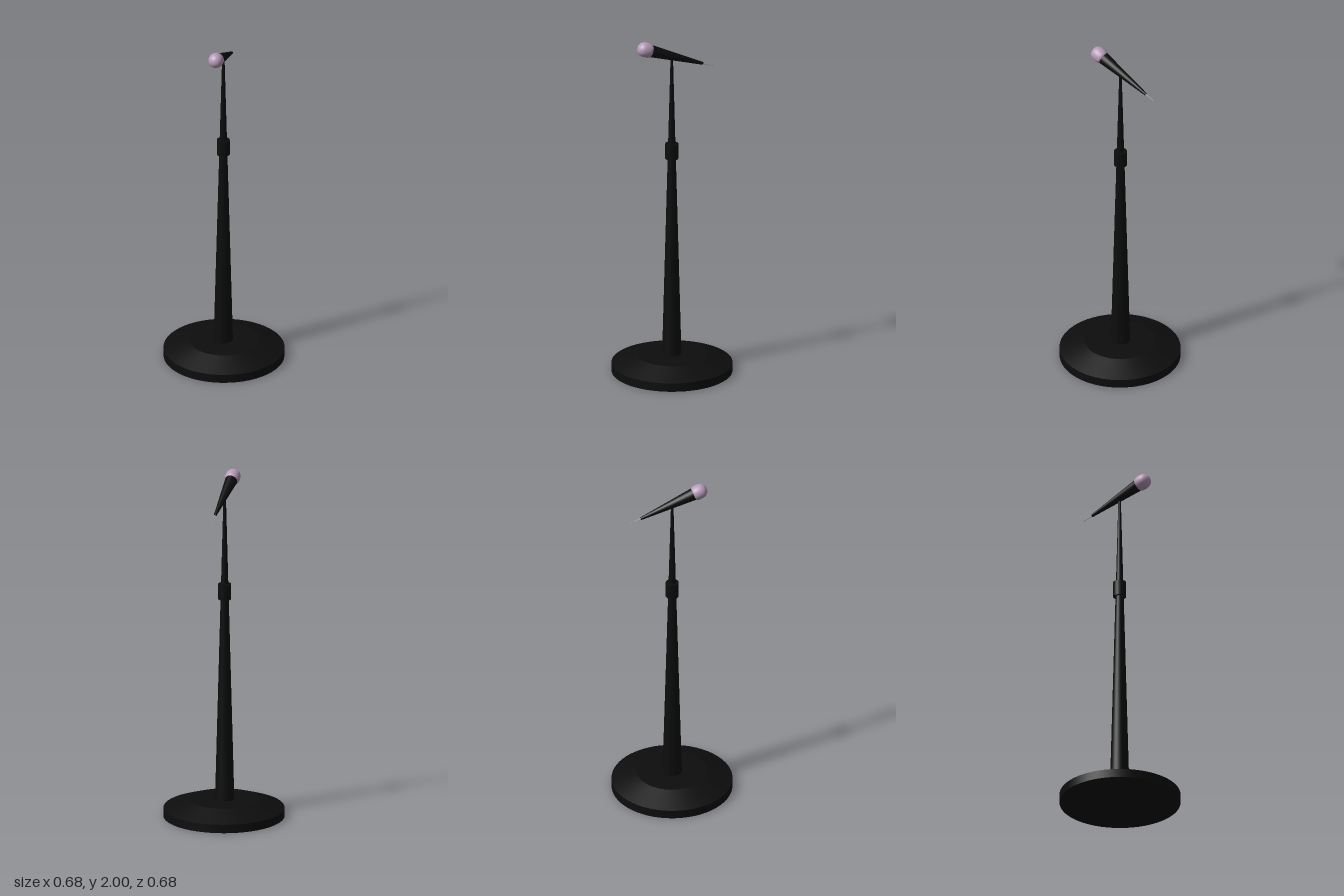
import * as THREE from 'three';

const black = new THREE.MeshStandardMaterial({ color: 0x0d0d0d });
black.name = 'matte black';
const mauve = new THREE.MeshStandardMaterial({ color: 0xb79bb7 });
mauve.name = 'pale mauve';

// Tapered round section running from height y0 to y1
function taper(name, r0, r1, y0, y1, material, sides = 32) {
  const mesh = new THREE.Mesh(new THREE.CylinderGeometry(r1, r0, y1 - y0, sides), material);
  mesh.position.y = (y0 + y1) / 2;
  mesh.name = name;
  return mesh;
}

export function createModel() {
  const model = new THREE.Group();
  model.name = 'microphoneOnStand';

  // Weighted round base: straight rim with a sloping shoulder
  const base = new THREE.Group();
  base.name = 'base';
  base.add(
    taper('baseRim', 0.342, 0.342, 0, 0.05, black, 64),
    taper('baseShoulder', 0.342, 0.2, 0.05, 0.1, black, 64),
  );

  // Telescopic pole with a clutch collar
  const pole = new THREE.Group();
  pole.name = 'pole';
  pole.position.x = -0.004;
  pole.add(
    taper('lowerPole', 0.055, 0.023, 0.09, 1.29, black),
    taper('clutchCollar', 0.037, 0.037, 1.28, 1.37, black),
    taper('upperPole', 0.021, 0.007, 1.36, 1.89, black),
  );

  // Microphone, built along +y from the tail and tilted to face forward
  const microphone = new THREE.Group();
  microphone.name = 'microphone';
  microphone.position.set(-0.005, 1.956, 0.158);
  microphone.rotation.x = 1.222;

  // Rounded grille with slightly flattened sides
  const profile = new THREE.SplineCurve([
    [0, -0.043], [0.024, -0.042], [0.037, -0.034], [0.042, -0.018], [0.0425, 0.004],
    [0.038, 0.023], [0.027, 0.037], [0.013, 0.044], [0, 0.046],
  ].map(([r, y]) => new THREE.Vector2(r, y)));
  const points = profile.getPoints(28).map((p) => new THREE.Vector2(Math.max(0, p.x), p.y));
  const grille = new THREE.Mesh(new THREE.LatheGeometry(points, 40), mauve);
  grille.name = 'grille';

  microphone.add(
    grille,
    taper('handle', 0.008, 0.035, -0.365, -0.036, black),
    taper('tailWire', 0.0012, 0.003, -0.43, -0.36, mauve, 12),
  );

  model.add(base, pole, microphone);
  return model;
}
